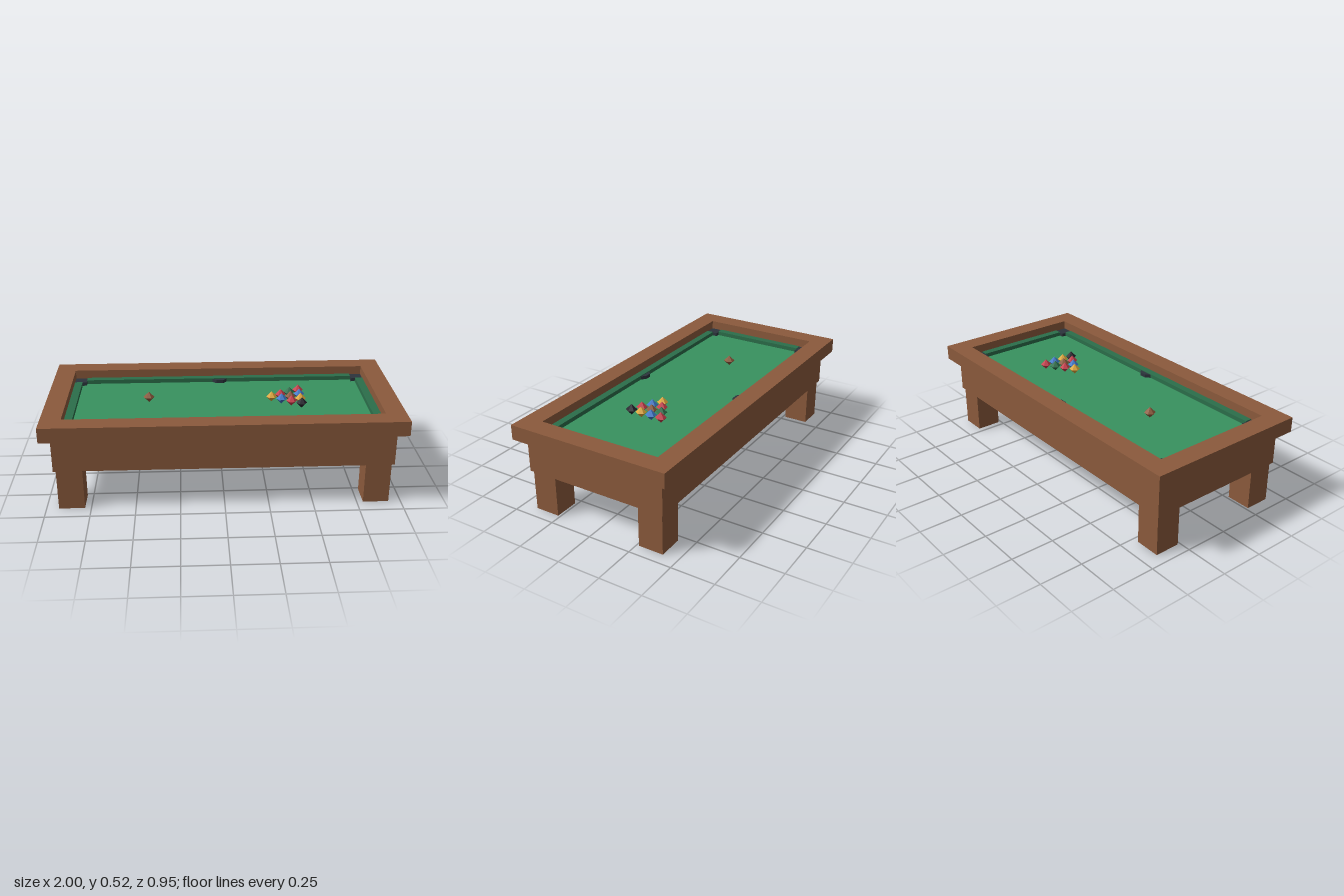
import * as THREE from 'three';

const mat = (name, color) => {
  const m = new THREE.MeshStandardMaterial({ color });
  m.name = name;
  return m;
};

export function createModel() {
  const wood = mat('wood', 0x8b5a3c);
  const felt = mat('felt', 0x38925f);
  const darkGreen = mat('darkGreen', 0x2b6e4a);
  const pocketGrey = mat('pocketGrey', 0x2c343c);
  const red = mat('red', 0xc43c4a);
  const blue = mat('blue', 0x3f78c8);
  const yellow = mat('yellow', 0xdca53a);
  const black = mat('black', 0x22222a);

  const group = new THREE.Group();
  group.name = 'poolTable';
  const add = (name, geometry, material, x, y, z) => {
    const mesh = new THREE.Mesh(geometry, material);
    mesh.name = name;
    mesh.position.set(x, y, z);
    group.add(mesh);
    return mesh;
  };
  // Box given by its size and the height of its underside
  const box = (name, material, w, h, d, x, bottom, z) =>
    add(name, new THREE.BoxGeometry(w, h, d), material, x, bottom + h / 2, z);

  // Body and legs
  box('body', wood, 1.888, 0.2, 0.842, 0, 0.24, 0);
  for (const sx of [-1, 1])
    for (const sz of [-1, 1])
      box('leg', wood, 0.145, 0.24, 0.145, sx * 0.858, 0, sz * 0.337);

  // Wooden rail: one rectangular ring
  const rect = (S, x, z) =>
    new S([[-x, -z], [x, -z], [x, z], [-x, z]].map(([a, b]) => new THREE.Vector2(a, b)));
  const ring = rect(THREE.Shape, 1, 0.473);
  ring.holes.push(rect(THREE.Path, 0.885, 0.36));
  const railGeo = new THREE.ExtrudeGeometry(ring, { depth: 0.085, bevelEnabled: false });
  railGeo.rotateX(-Math.PI / 2);
  add('rail', railGeo, wood, 0, 0.44, 0);

  // Playing surface
  const bedTop = 0.453;
  box('bed', felt, 1.77, bedTop - 0.438, 0.72, 0, 0.438, 0);

  // Cushions, corner pockets and side pockets
  for (const s of [-1, 1]) {
    box('longCushion', darkGreen, 1.63, 0.025, 0.042, 0, bedTop - 0.001, s * 0.339);
    box('shortCushion', darkGreen, 0.045, 0.025, 0.58, s * 0.8625, bedTop - 0.001, 0);
    for (const sz of [-1, 1])
      box('cornerPocket', pocketGrey, 0.07, 0.021, 0.07, s * 0.85, bedTop - 0.001, sz * 0.325);
    const sideGeo = new THREE.CylinderGeometry(0.054, 0.054, 0.021, 8).toNonIndexed();
    sideGeo.rotateY(Math.PI / 8);
    sideGeo.computeVertexNormals();
    add('sidePocket', sideGeo, pocketGrey, 0, bedTop + 0.0095, s * 0.345);
  }

  // Faceted balls: one cue ball and a triangular rack
  const r = 0.032;
  const ballGeo = new THREE.SphereGeometry(r, 6, 2).toNonIndexed();
  ballGeo.computeVertexNormals();
  add('cueBall', ballGeo, wood, -0.425, bedTop + r, -0.025);
  const rack = [[yellow], [red, blue], [darkGreen, wood, red], [red, blue, yellow, black]];
  rack.forEach((row, i) => row.forEach((m, j) =>
    add('rackBall', ballGeo, m, 0.292 + i * 0.055, bedTop + r, (j - i / 2) * 0.064)));

  return group;
}
